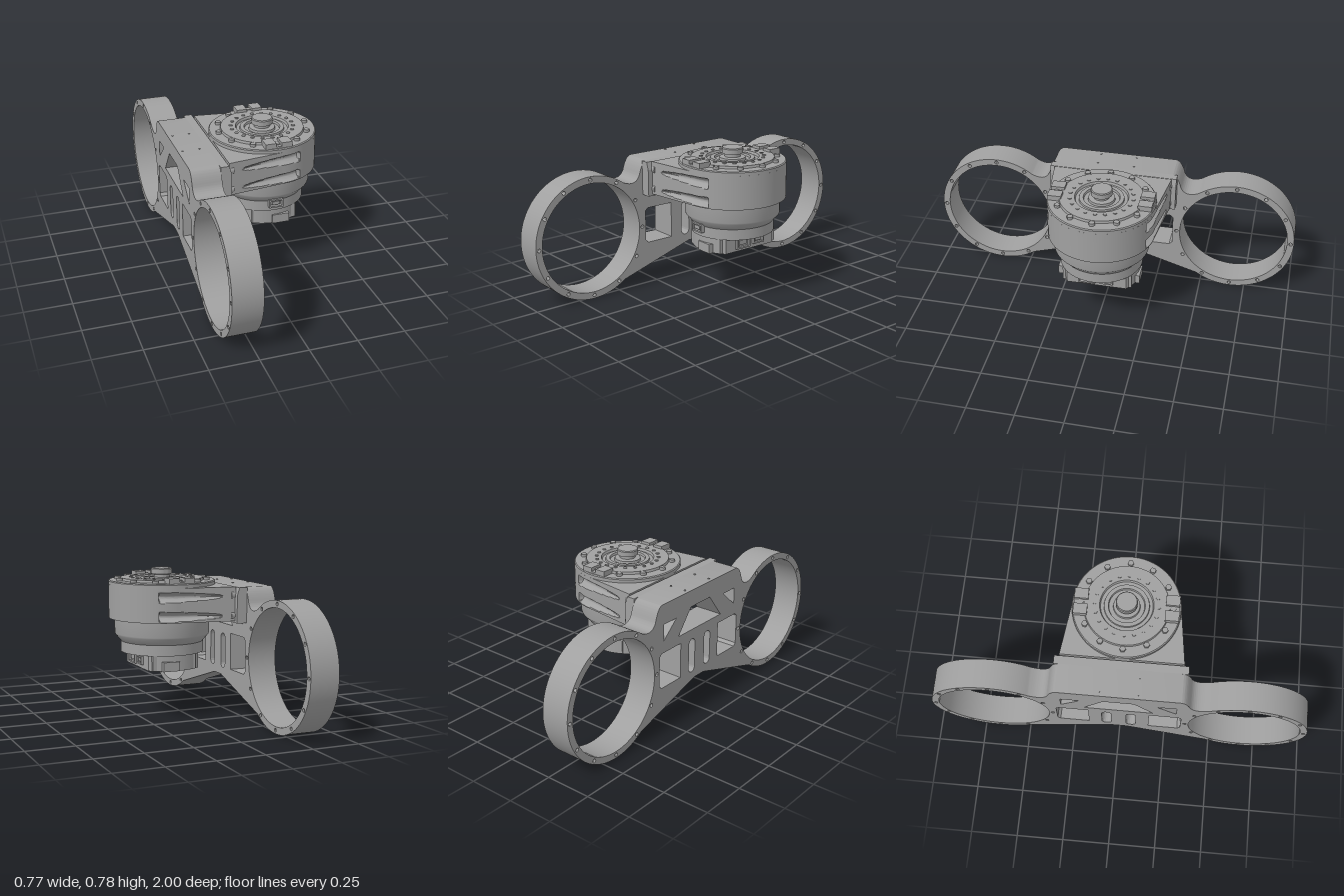
import * as THREE from 'three';
import { toCreasedNormals } from 'three/addons/utils/BufferGeometryUtils.js';

const grey = new THREE.MeshStandardMaterial({ color: 0xa0a0a0 });
grey.name = 'machined grey';
const AXIS = 0.102; // x of the motor axis

export function createModel() {
  const root = new THREE.Group();
  root.name = 'gimbalDrive';

  const add = (name, geo, x = 0, y = 0, z = 0, parent = root) => {
    const mesh = new THREE.Mesh(geo, grey);
    mesh.name = name;
    mesh.position.set(x, y, z);
    parent.add(mesh);
    return mesh;
  };
  const box = (name, x0, x1, y0, y1, z0, z1, parent) =>
    add(name, new THREE.BoxGeometry(x1 - x0, y1 - y0, z1 - z0),
      (x0 + x1) / 2, (y0 + y1) / 2, (z0 + z1) / 2, parent);
  const lathe = (name, pts, parent) =>
    add(name, toCreasedNormals(new THREE.LatheGeometry(pts.map(p => new THREE.Vector2(...p)), 72), 0.5),
      AXIS, 0, 0, parent);
  const rad = THREE.MathUtils.degToRad;
  const circle = (x, y, r) => new THREE.Path().absarc(x, y, r, 0, Math.PI * 2, true);
  const poly = pts => new THREE.Path(pts.map(p => new THREE.Vector2(...p)));

  // Side frame: two rings joined by a pierced web
  const C = 0.667, CY = 0.335, R = 0.333;
  const web = new THREE.Shape();
  web.moveTo(-0.04, 0.195);
  web.lineTo(0.04, 0.195);
  web.absarc(C, CY, R, rad(-125), rad(127), false);
  web.quadraticCurveTo(0.39, 0.565, 0.365, 0.625);
  web.quadraticCurveTo(0.345, 0.7, 0.31, 0.7);
  web.lineTo(-0.31, 0.7);
  web.quadraticCurveTo(-0.345, 0.7, -0.365, 0.625);
  web.quadraticCurveTo(-0.39, 0.565, -C + R * Math.cos(rad(53)), CY + R * Math.sin(rad(53)));
  web.absarc(-C, CY, R, rad(53), rad(305), false);
  web.closePath();
  for (const s of [-1, 1]) {
    web.holes.push(circle(s * C, CY, 0.296));
    for (let i = 0; i < 12; i++) {
      const a = rad(i * 30);
      web.holes.push(circle(s * C + 0.315 * Math.cos(a), CY + 0.315 * Math.sin(a), 0.01));
    }
    // window, gusset opening and upright slot on each side
    web.holes.push(poly([[0.16, 0.24], [0.315, 0.24], [0.33, 0.255], [0.33, 0.42], [0.315, 0.435], [0.16, 0.435]].map(([u, v]) => [s * u, v])));
    web.holes.push(poly([[0.2, 0.59], [0.3, 0.5], [0.3, 0.59]].map(([u, v]) => [s * u, v])));
    const slot = new THREE.Path();
    slot.absarc(s * 0.065, 0.4, 0.025, 0, Math.PI, false);
    slot.absarc(s * 0.065, 0.26, 0.025, Math.PI, Math.PI * 2, false);
    slot.closePath();
    web.holes.push(slot);
  }
  web.holes.push(poly([[-0.18, 0.48], [0.18, 0.48], [0.08, 0.61], [-0.08, 0.61]]));
  const frame = new THREE.ExtrudeGeometry(web, { depth: 0.155, bevelEnabled: false, curveSegments: 64 });
  frame.rotateY(Math.PI / 2);
  add('sideFrame', toCreasedNormals(frame, 0.5), -0.385);

  // Mounting block between frame and housing
  const block = new THREE.Shape([[-0.232, 0.515], [-0.175, 0.515], [-0.175, 0.66], [-0.188, 0.7], [-0.232, 0.7]]
    .map(p => new THREE.Vector2(...p)));
  add('mountingBlock', new THREE.ExtrudeGeometry(block, { depth: 0.69, bevelEnabled: false }), 0, 0, -0.345);
  for (const z of [-0.1, 0.1]) for (const x of [-0.36, -0.27])
    add('blockPin', new THREE.CylinderGeometry(0.006, 0.006, 0.006, 10), x, 0.7, z);
  for (const z of [-0.3, 0.3]) for (const y of [0.555, 0.66]) {
    const bolt = add('blockBolt', new THREE.CylinderGeometry(0.024, 0.024, 0.03, 20), -0.17, y, z);
    bolt.rotation.z = Math.PI / 2;
  }

  // Housing: tapering body with two scooped grooves on either flank
  const side = [];
  for (let i = 0; i < 30; i++) side.push([-0.18 + 0.01 * i, 0.32 - 0.00127 * i]);
  const outline = side.map(([x, z]) => new THREE.Vector2(x, -z));
  for (let i = 0; i <= 72; i++) {
    const a = rad(-86 + 172 * i / 72);
    outline.push(new THREE.Vector2(AXIS + 0.283 * Math.cos(a), 0.283 * Math.sin(a)));
  }
  side.reverse().forEach(([x, z]) => outline.push(new THREE.Vector2(x, z)));
  const body = new THREE.ExtrudeGeometry(new THREE.Shape(outline), { depth: 0.178, steps: 44, bevelEnabled: false });
  body.rotateX(-Math.PI / 2).translate(0, 0.525, 0);
  const pos = body.attributes.position;
  for (let i = 0; i < pos.count; i++) {
    const x = pos.getX(i), y = pos.getY(i), z = pos.getZ(i), t = (x + 0.11) / 0.33;
    if (t <= 0 || t >= 1 || Math.abs(z) < 0.2) continue;
    for (const yc of [0.556, 0.656]) {
      const k = Math.abs(y - yc) / (0.028 * Math.pow(t, 0.45));
      if (k < 1) pos.setZ(i, z - Math.sign(z) * 0.035 * Math.pow(t, 0.5) * (1 - k * k));
    }
  }
  add('housingBody', toCreasedNormals(body, 0.5));

  // Stepped upper face and hub
  lathe('housingTop', [[0, 0.69], [0.283, 0.69], [0.283, 0.72], [0.278, 0.725], [0.222, 0.725], [0.219, 0.738],
    [0.14, 0.738], [0.135, 0.725], [0.118, 0.725], [0.116, 0.734], [0.095, 0.734], [0.092, 0.722],
    [0.07, 0.722], [0.068, 0.735], [0.042, 0.738], [0.042, 0.752], [0.056, 0.756], [0.056, 0.782], [0.052, 0.787], [0, 0.787]]);
  const fasteners = new THREE.Group();
  fasteners.name = 'topFasteners';
  root.add(fasteners);
  const ringOf = (name, n, r, size, y, h, sides, phase = 0) => {
    for (let i = 0; i < n; i++) {
      const a = (i + phase) / n * Math.PI * 2;
      add(name, new THREE.CylinderGeometry(size, size, h, sides), AXIS + r * Math.cos(a), y, r * Math.sin(a), fasteners);
    }
  };
  ringOf('flangeScrew', 20, 0.165, 0.01, 0.738, 0.008, 12);
  ringOf('rimBolt', 12, 0.238, 0.016, 0.732, 0.016, 6);
  // Paired lugs with a low bridge, front and back
  for (const s of [-1, 1]) {
    const lug = new THREE.Group();
    lug.name = 'topLug';
    root.add(lug);
    const [z0, z1] = s > 0 ? [0.2, 0.272] : [-0.272, -0.2];
    box('lugBlock', 0.03, 0.086, 0.72, 0.753, z0, z1, lug);
    box('lugBlock', 0.115, 0.171, 0.72, 0.753, z0, z1, lug);
    box('lugBridge', 0.08, 0.12, 0.72, 0.734, z0, z1, lug);
  }

  // Motor can below the housing
  lathe('motorCan', [[0, 0.345], [0.22, 0.345], [0.22, 0.402], [0.226, 0.41], [0.25, 0.437], [0.252, 0.445], [0.252, 0.53], [0, 0.53]]);

  // Controller cap: disc cut flat on two sides, with notches along its edge
  const half = 0.141, rc = 0.212, corner = Math.acos(half / rc);
  const cap = new THREE.Shape();
  cap.absarc(0, 0, rc, corner, Math.PI - corner, false);
  cap.absarc(0, 0, rc, Math.PI + corner, Math.PI * 2 - corner, false);
  cap.closePath();
  const capGeo = new THREE.ExtrudeGeometry(cap, { depth: 0.085, bevelEnabled: false, curveSegments: 24 });
  capGeo.rotateX(-Math.PI / 2);
  add('controllerCap', toCreasedNormals(capGeo, 0.5), AXIS, 0.265, 0);
  for (const s of [-1, 1]) {
    box('capRib', 0.09, 0.182, 0.265, 0.314, s * 0.2 - 0.02, s * 0.2 + 0.02);
    for (const x of [0.0, 0.215]) box('capRib', x - 0.014, x + 0.014, 0.267, 0.345, s * 0.165 - 0.02, s * 0.165 + 0.02);
  }

  // Connector sockets: open frames with a recessed core
  const socket = (name, w, h, x, y, z, turn) => {
    const g = new THREE.Group();
    g.name = name;
    const b = 0.008;
    for (const s of [-1, 1]) {
      box('socketRim', -w / 2, w / 2, s * (h - b) / 2 - b / 2, s * (h - b) / 2 + b / 2, -0.04, 0.014, g);
      box('socketRim', s * (w - b) / 2 - b / 2, s * (w - b) / 2 + b / 2, -h / 2, h / 2, -0.04, 0.014, g);
    }
    box('socketCore', -w * 0.28, w * 0.28, -h * 0.2, h * 0.2, -0.04, 0.008, g);
    g.position.set(x, y, z);
    g.rotation.y = turn;
    root.add(g);
  };
  socket('frontSocket', 0.076, 0.046, AXIS, 0.393, 0.228, 0);
  socket('sidePort', 0.09, 0.06, AXIS + half, 0.31, 0.05, Math.PI / 2);
  socket('sidePort', 0.07, 0.045, AXIS + half, 0.31, -0.055, Math.PI / 2);

  return root;
}
